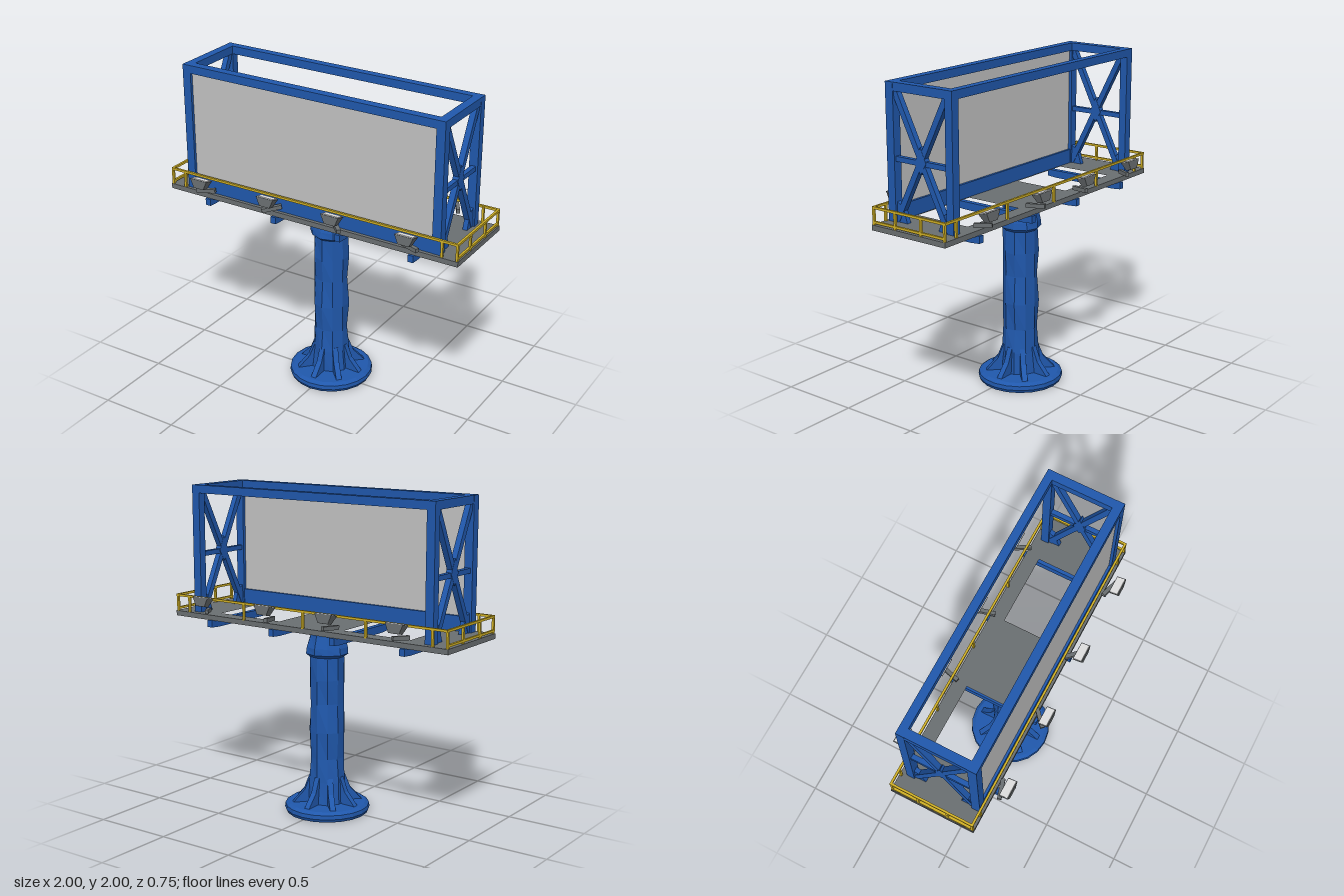
import * as THREE from 'three';

const mat = (name, color) => {
  const m = new THREE.MeshStandardMaterial({ color, flatShading: true });
  m.name = name;
  return m;
};

export function createModel() {
  const root = new THREE.Group();
  root.name = 'billboard';
  const blue = mat('blue steel', 0x2058ac);
  const grey = mat('platform grey', 0x6a6f71);
  const pale = mat('panel grey', 0xc2c2c2);
  const yellow = mat('railing yellow', 0xd0b025);
  const white = mat('lamp white', 0xe4e4e4);
  pale.side = THREE.DoubleSide;

  const add = (name, geo, material, parent = root) => {
    const mesh = new THREE.Mesh(geo, material);
    mesh.name = name;
    parent.add(mesh);
    return mesh;
  };
  const group = (name) => {
    const g = new THREE.Group();
    g.name = name;
    root.add(g);
    return g;
  };
  // Box given by its minimum and maximum on each axis
  const block = (name, [x0, x1], [y0, y1], [z0, z1], material, parent) => {
    const mesh = add(name, new THREE.BoxGeometry(x1 - x0, y1 - y0, z1 - z0), material, parent);
    mesh.position.set((x0 + x1) / 2, (y0 + y1) / 2, (z0 + z1) / 2);
    return mesh;
  };
  // Square bar between two points
  const bar = (name, a, b, w, d, material, parent) => {
    const p = new THREE.Vector3(...a), q = new THREE.Vector3(...b);
    const mesh = add(name, new THREE.BoxGeometry(w, d, p.distanceTo(q)), material, parent);
    mesh.position.copy(p).add(q).multiplyScalar(0.5);
    mesh.lookAt(q);
    return mesh;
  };
  // Flat plate cut from a side profile of [z, y] points, centred on x
  const plate = (name, pts, x, thick, material, parent) => {
    const shape = new THREE.Shape(pts.map(([z, y]) => new THREE.Vector2(-z, y)));
    const geo = new THREE.ExtrudeGeometry(shape, { depth: thick, bevelEnabled: false });
    geo.translate(0, 0, -thick / 2).rotateY(Math.PI / 2);
    const mesh = add(name, geo, material, parent);
    mesh.position.x = x;
    return mesh;
  };

  // Pole with collar, slightly dented
  const column = group('column');
  column.position.z = -0.035;
  const profile = [[0.125, 0.05], [0.115, 0.2], [0.105, 0.35], [0.112, 0.52], [0.105, 0.7], [0.11, 0.85],
    [0.108, 0.99], [0.132, 1.01], [0.128, 1.05], [0.108, 1.12], [0.11, 1.168]];
  const poleGeo = new THREE.LatheGeometry(profile.map(([r, y]) => new THREE.Vector2(r, y)), 10);
  const pos = poleGeo.attributes.position;
  for (let i = 0; i < pos.count; i++) {
    const x = pos.getX(i), y = pos.getY(i), z = pos.getZ(i);
    const k = 1 + 0.035 * Math.sin(3 * Math.atan2(z, x) + y * 17);
    pos.setXYZ(i, x * k, y, z * k);
  }
  add('pole', poleGeo, blue, column);

  // Round foot with sloping fins
  const foot = [[0, 0], [0.255, 0], [0.265, 0.02], [0.262, 0.045], [0.24, 0.06], [0, 0.065]];
  add('footPlate', new THREE.LatheGeometry(foot.map(([r, y]) => new THREE.Vector2(r, y)), 20), blue, column);
  for (let i = 0; i < 8; i++) {
    const fin = plate('footFin', [[0.08, 0.05], [0.225, 0.05], [0.19, 0.09], [0.145, 0.14], [0.11, 0.23], [0.08, 0.23]],
      0, 0.035, blue, column);
    fin.rotation.y = (i * Math.PI) / 4;
  }

  // Walkway deck with two openings
  const rect = (path, x0, x1, z0, z1) =>
    path.moveTo(x0, -z0).lineTo(x1, -z0).lineTo(x1, -z1).lineTo(x0, -z1).closePath();
  const deckShape = rect(new THREE.Shape(), -1, 1, -0.29, 0.25);
  for (const [a, b] of [[-0.7, -0.24], [0.24, 0.7]]) deckShape.holes.push(rect(new THREE.Path(), a, b, -0.2, 0.17));
  const deck = new THREE.ExtrudeGeometry(deckShape, { depth: 0.032, bevelEnabled: false });
  add('deck', deck.rotateX(-Math.PI / 2), grey).position.y = 1.167;

  // Beams under the deck and a lamp at each end
  const headGeo = new THREE.CylinderGeometry(0.085, 0.05, 0.055, 4);
  headGeo.rotateY(Math.PI / 4).scale(1, 1, 0.5);
  for (const x of [-0.71, -0.225, 0.225, 0.71]) {
    plate('crossBeam', [[0.265, 1.168], [0.265, 1.125], [0.2, 1.12], [-0.24, 1.12], [-0.305, 1.125], [-0.305, 1.168]],
      x, 0.035, blue);
    for (const [edge, s] of [[0.25, 1], [-0.29, -1]]) {
      const lamp = group(s > 0 ? 'frontLamp' : 'backLamp');
      lamp.position.set(x, 0, edge);
      lamp.scale.z = s;
      bar('lampArm', [0, 1.19, -0.015], [0, 1.275, 0.072], 0.025, 0.025, grey, lamp);
      const head = new THREE.Group();
      head.name = 'lampHead';
      head.position.set(0, 1.293, 0.08);
      head.rotation.x = -0.25;
      lamp.add(head);
      add('lampShade', headGeo, grey, head);
      add('lampGlass', new THREE.BoxGeometry(0.108, 0.006, 0.05), white, head).position.y = 0.029;
    }
  }

  // Upright frame: posts, top rails and bottom front beam
  const frame = group('frame');
  const zFront = [0.175, 0.23], zBack = [-0.25, -0.2];
  for (const z of [zFront, zBack]) {
    for (const x of [[-0.88, -0.825], [0.825, 0.88]]) block('post', x, [1.195, 1.98], z, blue, frame);
    block('topRail', [-0.88, 0.88], [1.95, 2], z, blue, frame);
  }
  block('bottomBeam', [-0.83, 0.83], [1.195, 1.29], [0.18, 0.228], blue, frame);
  block('displayPanel', [-0.83, 0.83], [1.285, 1.955], [0.196, 0.212], pale, frame);

  // Braced ends
  for (const s of [-1, 1]) {
    const x = s * 0.852;
    block('endTopRail', [x - 0.027, x + 0.027], [1.95, 2], [-0.21, 0.185], blue, frame);
    block('endMidRail', [x - 0.015, x + 0.015], [1.55, 1.58], [-0.21, 0.185], blue, frame);
    bar('endBrace', [x, 1.2, -0.2], [x, 1.96, 0.18], 0.036, 0.036, blue, frame);
    bar('endBrace', [x, 1.2, 0.18], [x, 1.96, -0.2], 0.036, 0.036, blue, frame);
    plate('braceKnot', [[0.03, 1.57], [-0.01, 1.5], [-0.05, 1.57], [-0.01, 1.66]], x, 0.038, blue, frame);
    plate('footGusset', [[0.18, 1.195], [0.1, 1.195], [0.13, 1.29], [0.18, 1.32]], x, 0.03, blue, frame);
    plate('footGusset', [[-0.205, 1.195], [-0.13, 1.195], [-0.16, 1.29], [-0.205, 1.32]], x, 0.03, blue, frame);
  }

  // Safety railing
  const railing = group('railing');
  const t = 0.014;
  const top = 1.3;
  const rail = (a, b) => bar('handRail', a, b, t, t, yellow, railing);
  const railPost = (x, z) => bar('railPost', [x, 1.195, z], [x, top, z], t, t, yellow, railing);
  for (const s of [-1, 1]) {
    const x = s * 0.99;
    rail([x, top, -0.29], [x, top, 0.247]);
    rail([x, 1.215, -0.28], [x, 1.215, 0.24]);
    for (const z of [-0.28, -0.11, 0.08, 0.24]) railPost(x, z);
    for (const z of [-0.28, 0.24]) railPost(s * 0.895, z);
  }
  for (const z of [-0.284, 0.241]) rail([-0.995, top, z], [0.995, top, z]);
  for (const x of [-0.45, 0, 0.45]) railPost(x, -0.284);

  return root;
}
